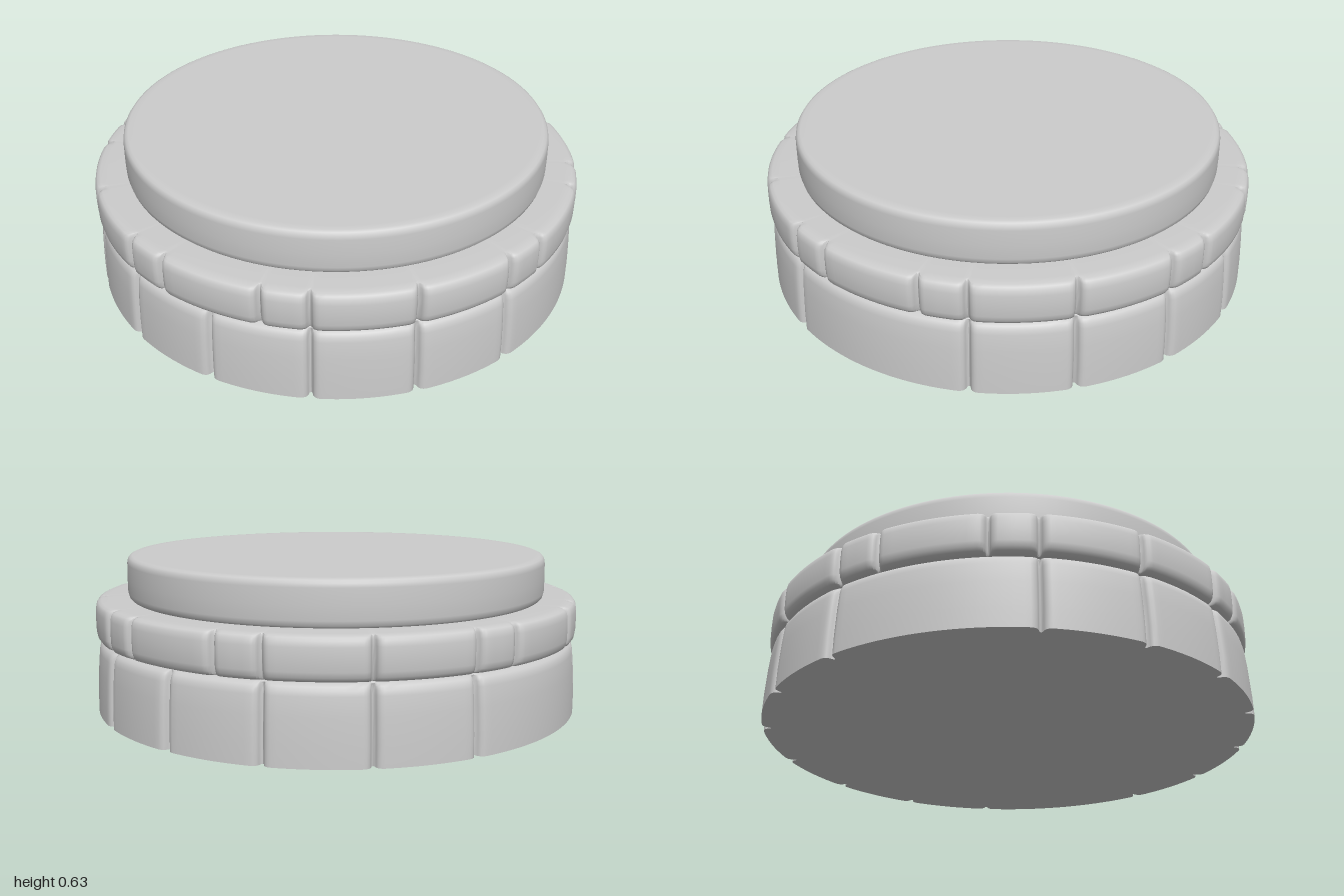
import * as THREE from 'three';
import { toCreasedNormals } from 'three/addons/utils/BufferGeometryUtils.js';

const TAU = Math.PI * 2;
const material = new THREE.MeshStandardMaterial({ color: 0xcccccc });

// Half of a groove's section: [angle from its centre, depth]
const GROOVE = [[0, 0.034], [0.005, 0.031], [0.009, 0.017], [0.016, 0.007], [0.026, 0.002], [0.036, 0]];

// Turned ring with vertical grooves. Profile rows run bottom to top: [radius, y, groove strength].
// Groove angles are in degrees, 0 at the front (+z), turning towards +x.
function groovedRing(name, profile, grooves) {
  const columns = [];
  for (const g of grooves) {
    for (const [offset, depth] of GROOVE) {
      for (const side of offset ? [-1, 1] : [1]) {
        columns.push([(g * Math.PI / 180 + side * offset + TAU) % TAU, depth]);
      }
    }
  }
  // Even columns between the grooves
  for (let i = 0; i < 160; i++) {
    const a = (i + 0.5) * TAU / 160;
    const clear = columns.every(([b]) => Math.abs(a - b) > 0.012 && Math.abs(a - b) < TAU - 0.012);
    if (clear) columns.push([a, 0]);
  }
  columns.sort((p, q) => p[0] - q[0]);

  const n = columns.length, positions = [], index = [];
  for (const [radius, y, strength] of profile) {
    for (const [a, depth] of columns) {
      const r = radius - depth * strength;
      positions.push(r * Math.sin(a), y, r * Math.cos(a));
    }
  }
  for (let j = 0; j < profile.length - 1; j++) {
    for (let i = 0; i < n; i++) {
      const k = (i + 1) % n;
      const a = j * n + i, b = j * n + k, c = a + n, d = b + n;
      if (profile[j][0] > 0) index.push(a, b, d);
      if (profile[j + 1][0] > 0) index.push(a, d, c);
    }
  }
  const geometry = new THREE.BufferGeometry();
  geometry.setAttribute('position', new THREE.Float32BufferAttribute(positions, 3));
  geometry.setIndex(index);
  const mesh = new THREE.Mesh(toCreasedNormals(geometry, 0.9), material);
  mesh.name = name;
  return mesh;
}

export function createModel() {
  const group = new THREE.Group();
  group.name = 'roundPlinth';

  // Lower course: wide blocks, slightly tapered; no joint at either side
  const lowerJoints = [];
  for (let i = 0; i < 16; i++) if (i % 8 !== 4) lowerJoints.push(i * 22.5);
  group.add(groovedRing('lowerCourse', [
    [0, 0, 0], [0.9, 0, 0], [1, 0, 1], [0.999, 0.08, 1], [0.994, 0.18, 1], [0.988, 0.25, 1],
    [0.984, 0.268, 1], [0.976, 0.281, 0.8], [0.965, 0.288, 0.4], [0.945, 0.293, 0], [0.8, 0.293, 0],
  ], lowerJoints));

  // Upper course: alternating long and short blocks, mirrored in each quarter
  const upperJoints = [];
  for (let q = 0; q < 4; q++) for (const a of [12, 22.5, 45, 67.5, 78]) upperJoints.push(q * 90 + a);
  group.add(groovedRing('upperCourse', [
    [0.8, 0.293, 0], [0.945, 0.293, 0], [0.968, 0.296, 0.4], [0.984, 0.302, 0.8], [0.993, 0.315, 1],
    [0.997, 0.335, 1], [0.998, 0.38, 1], [0.997, 0.42, 1], [0.993, 0.441, 1], [0.986, 0.451, 0.9],
    [0.974, 0.456, 0.6], [0.945, 0.458, 0], [0.8, 0.458, 0],
  ], upperJoints));

  // Plain top disc with softened edges
  const disc = [
    [0.8, 0.45], [0.853, 0.458], [0.861, 0.466], [0.866, 0.485], [0.867, 0.54], [0.866, 0.6],
    [0.863, 0.615], [0.856, 0.625], [0.845, 0.63], [0.82, 0.631], [0, 0.631],
  ].map(([r, y]) => new THREE.Vector2(r, y));
  const topDisc = new THREE.Mesh(new THREE.LatheGeometry(disc, 128), material);
  topDisc.name = 'topDisc';
  group.add(topDisc);

  return group;
}
